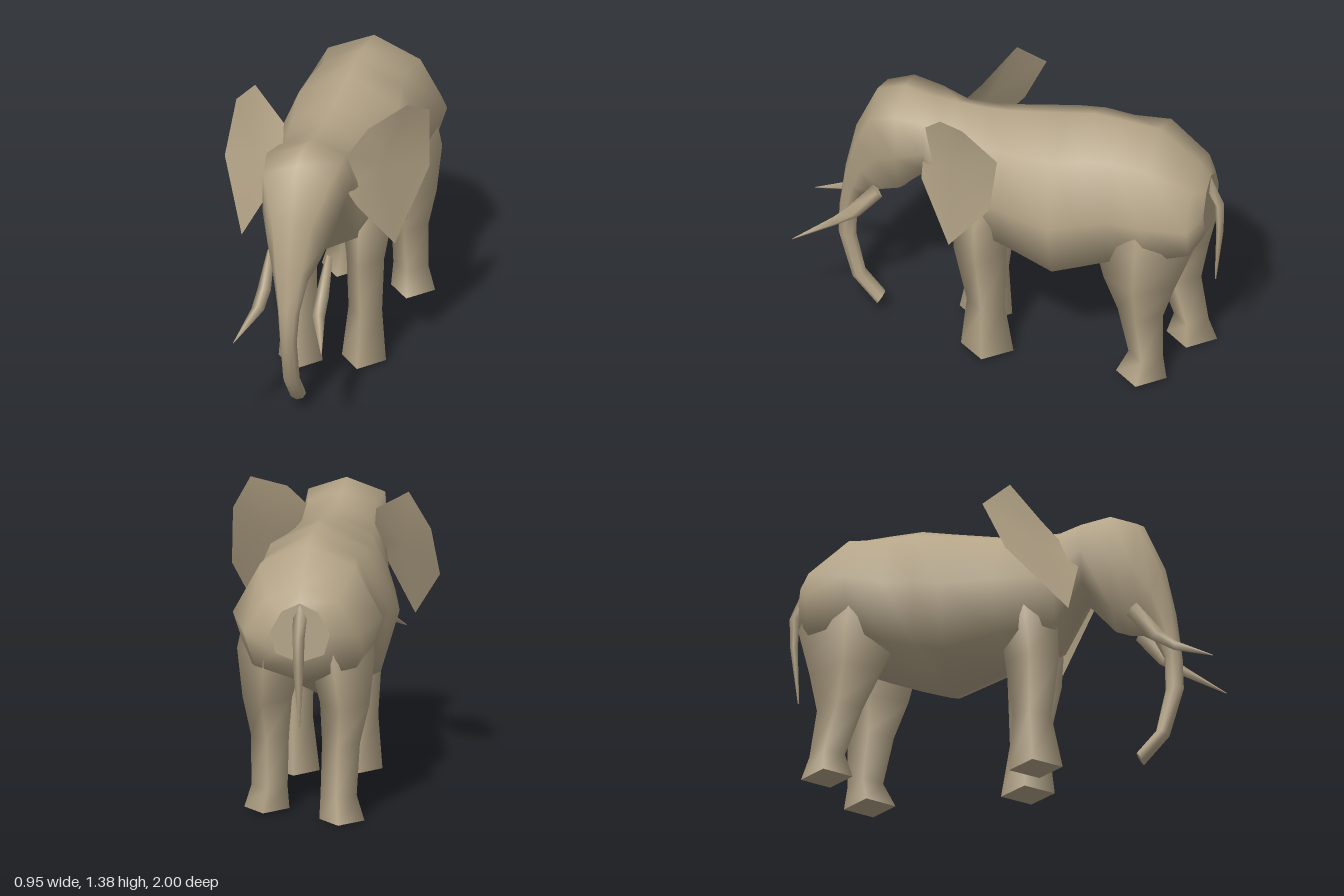
import * as THREE from 'three';

const hide = new THREE.MeshStandardMaterial({ color: 0xb5a588, side: THREE.DoubleSide });
hide.name = 'tan hide';

// Mesh from points and triangles, with smooth normals
function surface(name, points, faces) {
  const geo = new THREE.BufferGeometry();
  geo.setAttribute('position', new THREE.Float32BufferAttribute(points, 3));
  geo.setIndex(faces);
  geo.computeVertexNormals();
  const mesh = new THREE.Mesh(geo, hide);
  mesh.name = name;
  return mesh;
}

// Skin over rings; each ring is [centre x, half width, z, y of one edge, z, y of the opposite edge,
// widening toward the first edge, roundness power (below 1 is boxier)]
function loft(name, rings, sides) {
  const points = [], faces = [];
  const addRing = ([x, w, za, ya, zb, yb, bulge = 0, power = 1]) => {
    const round = (v) => Math.sign(v) * Math.pow(Math.abs(v), power);
    for (let j = 0; j < sides; j++) {
      const a = (j / sides) * Math.PI * 2;
      const c = round(Math.cos(a)), s = round(Math.sin(a));
      points.push(x + w * c * (1 + bulge * s), (ya + yb) / 2 + s * (ya - yb) / 2, (za + zb) / 2 + s * (za - zb) / 2);
    }
  };
  rings.forEach(addRing);
  for (let i = 0; i < rings.length - 1; i++) {
    for (let j = 0; j < sides; j++) {
      const k = (j + 1) % sides;
      const a = i * sides + j, b = i * sides + k;
      faces.push(a, b, b + sides, a, b + sides, a + sides);
    }
  }
  // Flat end caps on their own vertices
  [rings[0], rings[rings.length - 1]].forEach((ring, end) => {
    const start = points.length / 3;
    addRing(ring);
    for (let j = 1; j < sides - 1; j++) {
      if (end) faces.push(start, start + j, start + j + 1);
      else faces.push(start, start + j + 1, start + j);
    }
  });
  return surface(name, points, faces);
}

// Flat-edged sheet fanned around its middle
function ear(name, outline) {
  const n = outline.length;
  const mid = [0, 1, 2].map((k) => outline.reduce((sum, p) => sum + p[k], 0) / n);
  const faces = [];
  for (let i = 0; i < n; i++) faces.push(n, i, (i + 1) % n);
  return surface(name, [...outline.flat(), ...mid], faces);
}

export function createModel() {
  const model = new THREE.Group();
  model.name = 'elephant';
  const cx = 0.02;

  // Body from rump to neck: z, top, bottom, half width, widening toward the top
  const body = [
    [-0.935, 1.05, 0.77, 0.14, -0.2], [-0.885, 1.115, 0.67, 0.268, -0.2], [-0.69, 1.27, 0.61, 0.348, -0.15],
    [-0.52, 1.288, 0.54, 0.305, -0.1], [-0.38, 1.30, 0.49, 0.335, -0.1], [-0.25, 1.28, 0.45, 0.362, -0.1],
    [0, 1.245, 0.55, 0.305, -0.1], [0.13, 1.24, 0.58, 0.272, -0.1], [0.26, 1.248, 0.62, 0.235, -0.05],
  ].map(([z, t, b, w, bulge]) => [cx, w, z, t, z, b, bulge]);
  // Head turning down into the trunk: half width, front z, y, back z, y, widening, power
  const head = [
    [0.2, 0.38, 1.258, 0.385, 0.88, 0.1, 0.85], [0.185, 0.52, 1.295, 0.52, 0.73, 0.3, 0.72],
    [0.17, 0.65, 1.255, 0.59, 0.705, 0.3, 0.72], [0.125, 0.75, 1.03, 0.65, 0.70, 0, 0.85],
    [0.085, 0.80, 0.80, 0.70, 0.67, 0, 0.85], [0.052, 0.83, 0.57, 0.745, 0.58],
    [0.04, 0.835, 0.42, 0.75, 0.42], [0.04, 0.77, 0.19, 0.705, 0.21], [0.04, 0.65, 0.05, 0.615, 0.105],
  ].map((ring) => [cx, ...ring]);
  model.add(loft('bodyHeadAndTrunk', [...body, ...head], 8));

  // Legs, top to foot: y, distance from middle, half width, front z, back z
  const frontLeg = [
    [0.96, 0.11, 0.1, 0.2, 0.0], [0.74, 0.16, 0.12, 0.25, -0.02], [0.55, 0.155, 0.09, 0.24, -0.01],
    [0.27, 0.148, 0.08, 0.18, 0.0], [0.01, 0.14, 0.105, 0.21, -0.04],
  ];
  const rearLeg = [
    [0.98, 0.15, 0.13, -0.44, -0.87], [0.76, 0.165, 0.158, -0.41, -0.905], [0.53, 0.185, 0.115, -0.475, -0.815],
    [0.35, 0.172, 0.088, -0.54, -0.755], [0.12, 0.17, 0.084, -0.59, -0.755], [0.01, 0.185, 0.105, -0.535, -0.775],
  ];
  for (const side of [1, -1]) {
    const label = side > 0 ? 'left' : 'right';
    // The right pair is caught mid-stride, swung from the upper leg
    const leg = (name, rings, middle, stride) => model.add(loft(name, rings.map(([y, d, w, f, b]) => {
      const swing = side < 0 ? stride * Math.max(0, 1 - y / 0.95) : 0;
      const ground = side < 0 && y < 0.05 && stride < 0 ? 0 : y;
      return [middle + side * d, w, f + swing, ground, b + swing, ground];
    }), 4));
    leg(label + 'FrontLeg', frontLeg, 0.045, 0.08);
    leg(label + 'RearLeg', rearLeg, 0.03, -0.145);

    // Tusk curving forward and outward
    const tusk = [
      [0.138, 0.018, 0.635, 0.81, 0.59, 0.75], [0.138, 0.032, 0.755, 0.66, 0.70, 0.62],
      [0.145, 0.03, 0.82, 0.6, 0.81, 0.555], [0.21, 0.002, 1.0, 0.488, 1.0, 0.483],
    ];
    model.add(loft(label + 'Tusk', tusk.map(([d, ...rest]) => [0.025 + side * d, ...rest]), 4));
  }

  // Ears spread wide, the left one raised a little more
  model.add(ear('leftEar', [
    [0.18, 1.19, 0.385], [0.26, 1.30, 0.29], [0.41, 1.375, 0.145], [0.465, 1.27, -0.035],
    [0.475, 1.0, 0], [0.37, 0.69, 0.22], [0.235, 0.945, 0.385], [0.18, 1.03, 0.39],
  ]));
  model.add(ear('rightEar', [
    [-0.13, 1.03, 0.37], [-0.19, 0.95, 0.37], [-0.325, 0.705, 0.35], [-0.48, 0.96, 0.08],
    [-0.455, 1.2, -0.03], [-0.335, 1.345, 0.08], [-0.165, 1.23, 0.2],
  ]));

  // Tail hanging from the rump: half width, front z, y, back z, y
  const tail = [
    [0.035, -0.90, 0.98, -0.93, 1.055], [0.028, -0.95, 0.89, -0.998, 0.9],
    [0.024, -0.96, 0.75, -0.995, 0.75], [0.004, -0.953, 0.47, -0.96, 0.47],
  ];
  model.add(loft('tail', tail.map(([w, ...edge]) => [cx, w, ...edge]), 4));

  return model;
}
